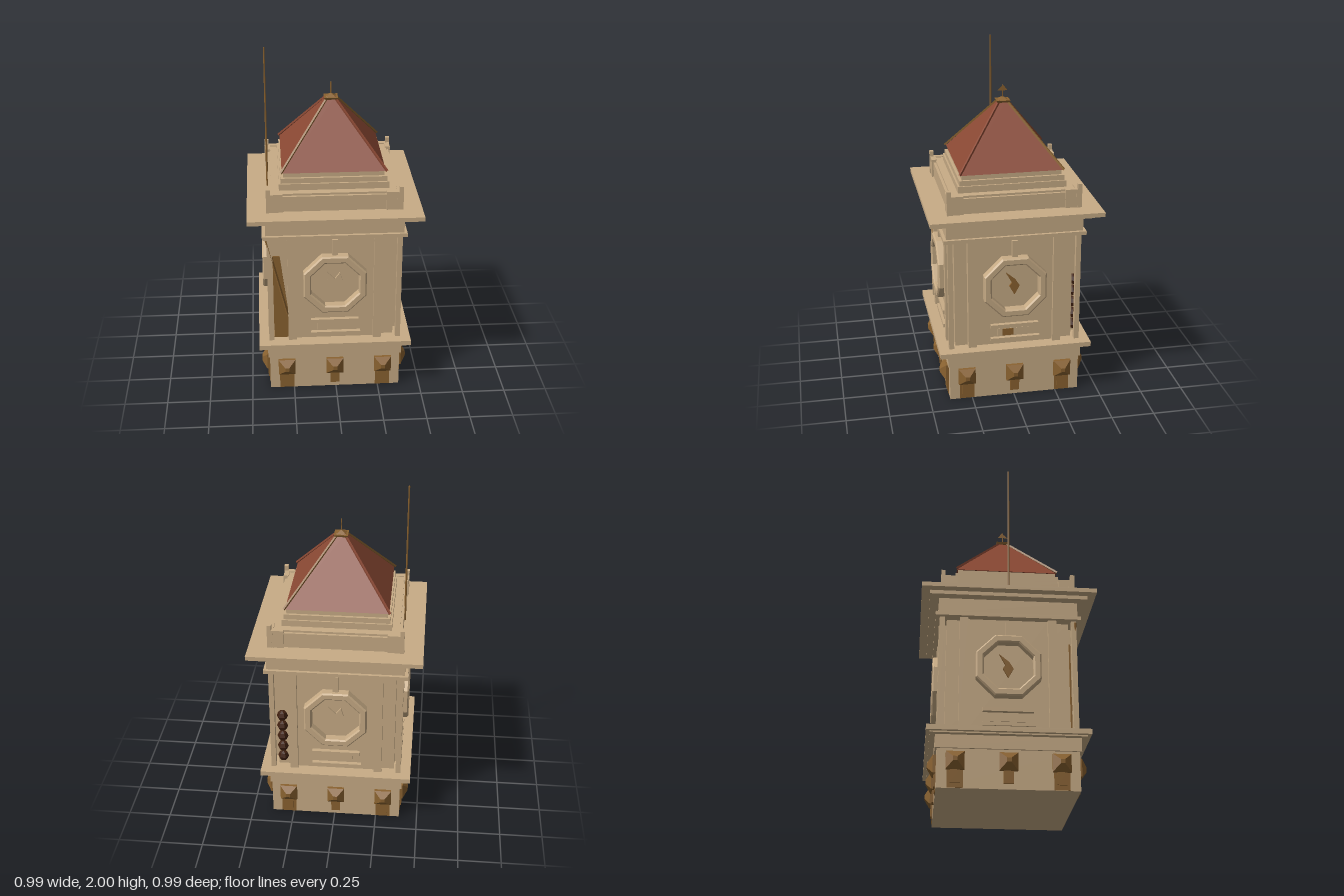
import * as THREE from 'three';

const mat = (name, color) => {
  const m = new THREE.MeshStandardMaterial({ color });
  m.name = name;
  return m;
};

export function createModel() {
  const stone = mat('sandstone', 0xc8ac86);
  const brown = mat('bronze brown', 0x8a6230);
  const red = mat('red roof', 0x8a4833);
  const dark = mat('dark brown', 0x40200f);
  const plate = mat('double sided bronze', 0x8a6230);
  plate.side = THREE.DoubleSide;

  const model = new THREE.Group();
  model.name = 'clockTower';
  const tower = new THREE.Group();
  tower.name = 'tower';
  tower.position.set(-0.007, 0, -0.004);
  model.add(tower);

  const add = (parent, name, geo, material, x = 0, y = 0, z = 0) => {
    const m = new THREE.Mesh(geo, material);
    m.name = name;
    m.position.set(x, y, z);
    parent.add(m);
    return m;
  };
  // box given by its min and max corners
  const box = (parent, name, material, x0, x1, y0, y1, z0, z1) =>
    add(parent, name, new THREE.BoxGeometry(x1 - x0, y1 - y0, z1 - z0), material,
      (x0 + x1) / 2, (y0 + y1) / 2, (z0 + z1) / 2);
  const slab = (name, half, y0, y1) => box(tower, name, stone, -half, half, y0, y1, -half, half);
  const flat = (geo) => {
    const g = geo.toNonIndexed();
    g.computeVertexNormals();
    return g;
  };
  // square pyramid frustum, sides facing the axes
  const frustum = (top, bottom, h) =>
    flat(new THREE.CylinderGeometry(top * Math.SQRT2, bottom * Math.SQRT2, h, 4, 1).rotateY(Math.PI / 4));
  const polygon = (points) => new THREE.Shape(points.map(([x, y]) => new THREE.Vector2(x, y)));
  const octagon = (r) => Array.from({ length: 8 }, (_, i) => {
    const a = (i + 0.5) * Math.PI / 4;
    return [r * Math.cos(a), r * Math.sin(a)];
  });
  const extrude = (shape, depth, bevel = 0) => new THREE.ExtrudeGeometry(shape, {
    depth, bevelEnabled: bevel > 0, bevelSize: bevel, bevelThickness: bevel, bevelSegments: 1,
  });

  // stacked square storeys and ledges
  [
    ['base', 0.385, 0, 0.225],
    ['baseBand', 0.395, 0.22, 0.3],
    ['lowerLedge', 0.445, 0.303, 0.332],
    ['lowerLedgeFoot', 0.425, 0.295, 0.303],
    ['shaftCore', 0.345, 0.33, 1.0],
    ['upperLedge', 0.41, 1.0, 1.022],
    ['frieze', 0.393, 1.02, 1.115],
    ['corniceStep', 0.445, 1.113, 1.135],
    ['cornice', 0.493, 1.135, 1.16],
    ['parapet', 0.355, 1.16, 1.262],
    ['drum', 0.31, 1.26, 1.3],
    ['drumStep', 0.3, 1.3, 1.33],
    ['eaves', 0.285, 1.33, 1.36],
  ].forEach((s) => slab(...s));

  // roof with hips and cap
  add(tower, 'roof', frustum(0.02, 0.292, 0.345), red, 0, 1.53, 0);
  for (let i = 0; i < 4; i++) {
    const a = Math.PI / 4 + i * Math.PI / 2;
    const sx = Math.sign(Math.cos(a)), sz = Math.sign(Math.sin(a));
    const hip = new THREE.LineCurve3(new THREE.Vector3(sx * 0.298, 1.36, sz * 0.298),
      new THREE.Vector3(sx * 0.02, 1.705, sz * 0.02));
    add(tower, 'roofHip', flat(new THREE.TubeGeometry(hip, 1, 0.008, 4)), i % 2 ? brown : red);
  }
  add(tower, 'roofCap', frustum(0.04, 0.035, 0.012), brown, 0, 1.7, 0);
  add(tower, 'roofCapPoint', frustum(0.003, 0.03, 0.018), brown, 0, 1.714, 0);

  // weather vane and lightning rod
  box(tower, 'vaneStem', brown, -0.003, 0.003, 1.71, 1.79, -0.003, 0.003);
  const vane = add(tower, 'vane', new THREE.ShapeGeometry(
    polygon([[-0.032, 1.757], [0.03, 1.757], [0.004, 1.79]])), plate);
  vane.rotation.y = Math.PI / 2;
  add(tower, 'lightningRod', new THREE.CylinderGeometry(0.005, 0.007, 0.85, 6), brown, -0.373, 1.575, 0.003);

  // face details, the same on all four sides
  const ring = polygon(octagon(0.188));
  ring.holes.push(new THREE.Path(octagon(0.158).map(([x, y]) => new THREE.Vector2(x, y)).reverse()));
  const ringGeo = extrude(ring, 0.045, 0.008);
  const handGeo = extrude(polygon([[0, -0.09], [0.045, 0], [0.03, 0.055], [0, 0.015], [-0.045, 0.06], [-0.04, 0]]), 0.012);
  const sideHandGeo = extrude(polygon([[0, -0.065], [0.03, -0.01], [0.005, 0.03], [-0.05, 0.075], [-0.015, 0.01], [-0.03, -0.01]]), 0.012);
  const blockGeo = frustum(0.012, 0.05, 0.03).rotateX(Math.PI / 2);

  for (let i = 0; i < 4; i++) {
    const side = new THREE.Group();
    side.name = ['front', 'left', 'back', 'right'][i] + 'Face';
    side.rotation.y = i * Math.PI / 2;
    tower.add(side);

    // wall panel, pilasters and corner posts
    box(side, 'wallPanel', stone, -0.225, 0.225, 0.33, 1.0, 0.34, 0.364);
    for (const s of [-1, 1]) {
      const strip = (name, a, b, y0, y1, z0, z1) =>
        box(side, name, stone, Math.min(s * a, s * b), Math.max(s * a, s * b), y0, y1, z0, z1);
      strip('pilaster', 0.225, 0.272, 0.33, 1.0, 0.34, 0.388);
      strip('parapetCorner', 0.29, 0.383, 1.16, 1.268, 0.35, 0.381);
    }
    box(side, 'cornerPost', stone, 0.357, 0.386, 0.33, 1.0, 0.357, 0.386);
    box(side, 'parapetPost', stone, 0.36, 0.384, 1.16, 1.3, 0.36, 0.384);
    box(side, 'parapetRail', stone, -0.3, 0.3, 1.16, 1.25, 0.35, 0.37);

    // clock
    add(side, 'clockRing', ringGeo, stone, 0, 0.705, 0.362);
    add(side, 'clockHands', i % 2 ? sideHandGeo : handGeo, i % 2 ? brown : stone, 0, 0.71, 0.363);
    box(side, 'keystone', stone, -0.016, 0.016, 0.88, 0.985, 0.36, 0.39);

    // sill plaque below the clock
    box(side, 'plaqueTop', stone, -0.14, 0.14, 0.44, 0.463, 0.36, 0.388);
    box(side, 'plaqueCentre', stone, -0.1, 0.1, 0.385, 0.432, 0.36, 0.374);
    box(side, 'plaqueBottom', stone, -0.14, 0.15, 0.357, 0.378, 0.36, 0.388);
    if (i === 1) box(side, 'plaquePatch', brown, -0.07, -0.005, 0.388, 0.43, 0.37, 0.377);

    // bracket blocks with stems
    for (const x of [-0.285, 0, 0.285]) {
      box(side, 'bracket', brown, x - 0.05, x + 0.05, 0.1, 0.2, 0.38, 0.402);
      add(side, 'bracketPoint', blockGeo, brown, x, 0.15, 0.417);
      box(side, 'bracketStem', brown, x - 0.027, x + 0.027, 0.03, 0.1, 0.38, 0.396);
      if (x) box(side, 'basePatch', brown, x - 0.043, x + 0.043, 0.002, 0.1, 0.38, 0.388);
    }
  }

  // weathered panel and slanted strut at the front corner
  add(tower, 'weatheredPanel', extrude(polygon(
    [[-0.355, 0.332], [-0.272, 0.332], [-0.272, 0.52], [-0.315, 0.87], [-0.355, 0.87]]), 0.008), brown, 0, 0, 0.345);
  const strut = new THREE.LineCurve3(new THREE.Vector3(-0.39, 0.99, 0.38), new THREE.Vector3(-0.275, 0.5, 0.375));
  add(tower, 'strut', flat(new THREE.TubeGeometry(strut, 1, 0.008, 4)), brown);

  // column of bulbs in the back corner recess
  for (let i = 0; i < 5; i++) {
    add(tower, 'bulb', flat(new THREE.SphereGeometry(0.033, 6, 4)), dark, 0.315, 0.4 + i * 0.072, -0.36);
  }
  return model;
}
